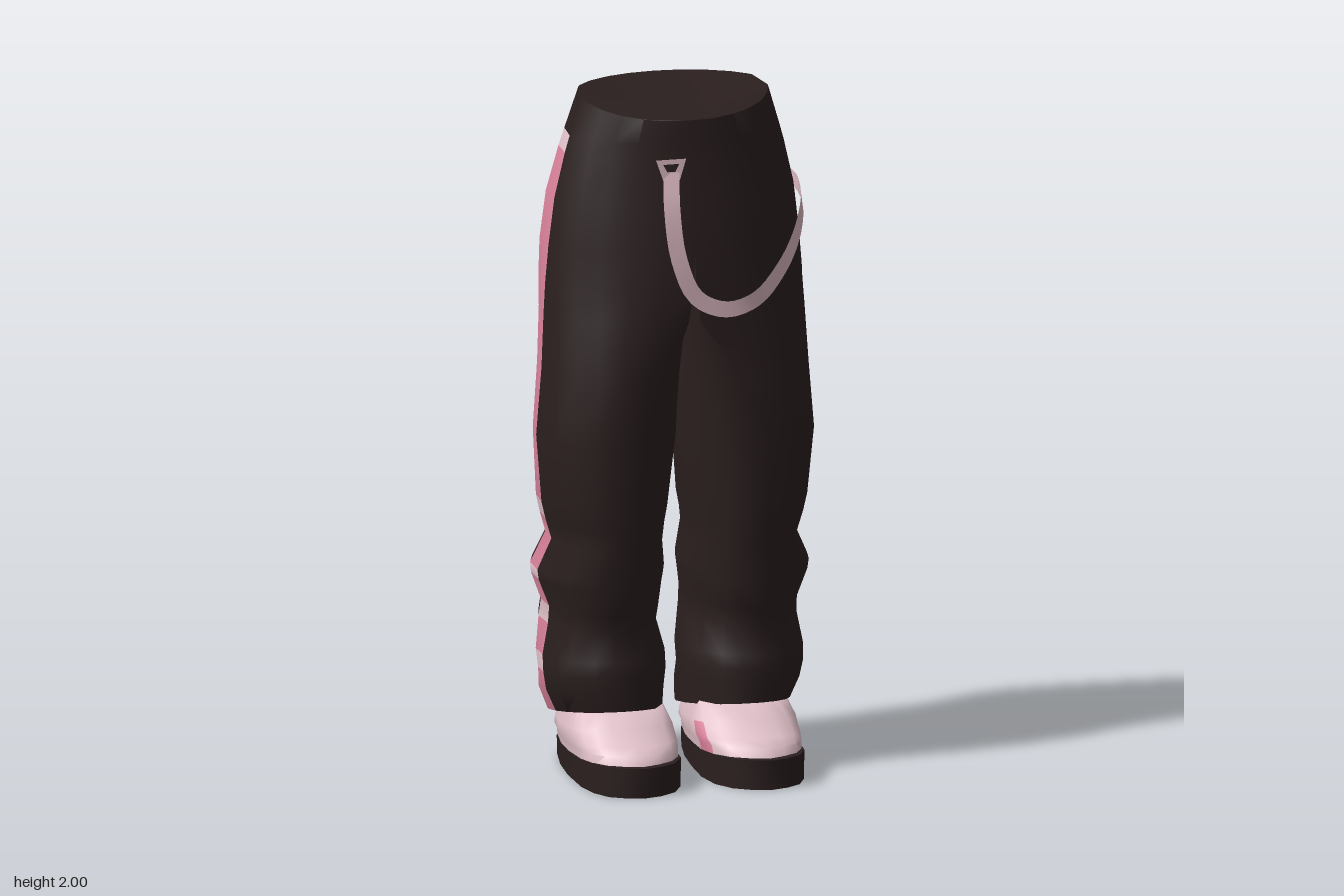
import * as THREE from 'three';
import { toCreasedNormals } from 'three/addons/utils/BufferGeometryUtils.js';

const flat = (name, color, side = THREE.FrontSide) => {
  const m = new THREE.MeshStandardMaterial({ color, side });
  m.name = name;
  return m;
};

// Skins rings of [x, y, z], listed from top to bottom, on the given sides (1 or -1 mirrors x).
// pick(row, column) returns the material index of a face.
function loft(rings, sides, crease, pick = () => 0) {
  const pos = [], faces = [[], [], []], n = rings[0].length;
  for (const s of sides) {
    const base = pos.length / 3;
    rings.flat().forEach(([x, y, z]) => pos.push(x * s, y, z));
    const tri = (a, b, c, m) => {
      const ids = [a, b, c].map((i) => i + base);
      if (ids.every((i) => Math.abs(pos[i * 3]) < 1e-6)) return; // hidden wall on the midline
      faces[m].push(ids[0], ...(s > 0 ? [ids[1], ids[2]] : [ids[2], ids[1]]));
    };
    for (let r = 0; r < rings.length - 1; r++) {
      for (let c = 0; c < n; c++) {
        const a = r * n + c, b = r * n + (c + 1) % n;
        tri(a, a + n, b + n, pick(r, c));
        tri(a, b + n, b, pick(r, c));
      }
    }
    const last = (rings.length - 1) * n;
    for (let c = 1; c < n - 1; c++) {
      tri(0, c, c + 1, 0);
      tri(last, last + c + 1, last + c, 0);
    }
  }
  const g = new THREE.BufferGeometry();
  g.setAttribute('position', new THREE.Float32BufferAttribute(pos, 3));
  g.setIndex(faces.flat());
  let start = 0;
  faces.forEach((f, m) => {
    if (f.length) g.addGroup(start, f.length, m);
    start += f.length;
  });
  return toCreasedNormals(g, crease);
}

// Trouser rows: height, blend from half pelvis to full leg, inner x, outer x, front z, back z
const ROWS = [
  [2.0, 0, 0, 0.28, 0.155, -0.235],
  [1.88, 0, 0, 0.315, 0.16, -0.265],
  [1.83, 0, 0, 0.33, 0.163, -0.277],
  [1.7, 0, 0, 0.36, 0.18, -0.308],
  [1.56, 0, 0, 0.377, 0.197, -0.335],
  [1.45, 0.06, -0.02, 0.384, 0.202, -0.312],
  [1.36, 0.3, -0.03, 0.387, 0.206, -0.288],
  [1.2, 0.85, -0.008, 0.392, 0.208, -0.268],
  [1.0, 1, 0.004, 0.407, 0.206, -0.253],
  [0.8, 1, 0.023, 0.39, 0.19, -0.275],
  [0.75, 1, 0.033, 0.378, 0.187, -0.276],
  [0.69, 1, 0.04, 0.36, 0.178, -0.275],
  [0.6, 1, 0.028, 0.402, 0.166, -0.3],
  [0.57, 1, 0.033, 0.398, 0.163, -0.304],
  [0.49, 1, 0.045, 0.367, 0.156, -0.313],
  [0.44, 1, 0.046, 0.372, 0.128, -0.318],
  [0.35, 1, 0.026, 0.385, 0.16, -0.292],
  [0.3, 1, 0.026, 0.382, 0.162, -0.268],
  [0.25, 1, 0.028, 0.374, 0.162, -0.305],
  [0.187, 1, 0.033, 0.345, 0.158, -0.312],
];
// Angles round the outside from front to back; the stripe is the face after column 6
const OUTER = [0, 0.25, 0.5, 0.75, 1.0, 1.25, 1.5, 1.78, 2.05, 2.3, 2.6, 2.87, Math.PI];
const STRIPE = 6, INNER = 4;
const LIGHT_ROWS = [1, 9, 12, 14, 16];
const stripeZ = (y, column) => -0.055 + 0.018 * y - (column === STRIPE ? 0 : 0.095);

const bulge = (v, p) => Math.sign(v) * Math.abs(v) ** p;

function trouserRing([y, k, xi, xo, zf, zb], row) {
  const zc = (zf + zb) / 2, h = (zf - zb) / 2, cx = (xi + xo) / 2, rx = (xo - xi) / 2;
  const wrap = 0.6, ring = [];
  const power = (b) => (row < 3 ? 1 : Math.cos(b) > 0 ? 0.96 : 0.88); // fuller at the back
  const add = (px, pz, b) => {
    const p = power(b);
    const x = Math.max(0, px * (1 - k) + (cx + rx * bulge(Math.sin(b), p)) * k);
    const z = zc + h * (pz * (1 - k) + bulge(Math.cos(b), p) * k);
    let yy = y;
    if (row === 0) yy -= 0.055 * THREE.MathUtils.clamp((z + 0.05) / 0.2, 0, 1); // waist dips in front
    yy += 0.17 * z * THREE.MathUtils.clamp((0.4 - y) / 0.2, 0, 1); // hem drops at the heel
    ring.push([x, yy, z]);
  };
  OUTER.forEach((angle, c) => {
    const onStripe = c === STRIPE || c === STRIPE + 1;
    const q = (stripeZ(y, c) - zc) / h;
    const a = onStripe ? Math.acos(bulge(q, 1 / power(Math.acos(q)))) : angle;
    const p = power(a);
    const px = c === 0 || c === OUTER.length - 1 ? 0 : xo * bulge(Math.sin(a), p);
    add(px, bulge(Math.cos(a), p), onStripe ? a : -wrap + a * (Math.PI + 2 * wrap) / Math.PI);
  });
  for (let i = 1; i <= INNER; i++) {
    const t = i / (INNER + 1);
    add(0, -1 + 2 * t, Math.PI + wrap + t * (Math.PI - 2 * wrap));
  }
  return ring;
}

// Shoe outline [x, z], from the toe round the outer side
const SOLE = [
  [0.19, 0.34], [0.24, 0.325], [0.285, 0.295], [0.315, 0.235], [0.328, 0.15], [0.325, 0], [0.31, -0.13],
  [0.285, -0.25], [0.23, -0.31], [0.14, -0.31], [0.085, -0.25], [0.06, -0.13], [0.045, 0], [0.037, 0.13],
  [0.05, 0.225], [0.085, 0.29], [0.135, 0.325],
];
const INSTEP = 13;
const soleTop = (z) => 0.072 + 0.06 * Math.min(z, 0.25);
// Outline scaled about its middle, with the toe pulled back to zMax
const shoeRing = (scale, zMax, height) => SOLE.map(([x, z]) => {
  const zz = z > 0 ? z * zMax / 0.34 : z * scale;
  return [0.185 + (x - 0.185) * scale, height(zz), zz];
});

// Flat band that follows a path round the hips
function ribbon(points, width) {
  const curve = new THREE.CatmullRomCurve3(points.map((p) => new THREE.Vector3(...p)));
  const pos = [], idx = [], N = 40;
  for (let i = 0; i <= N; i++) {
    const p = curve.getPoint(i / N), t = curve.getTangent(i / N);
    const out = new THREE.Vector3(p.x * 7, 0, (p.z + 0.06) * 14).normalize();
    const w = out.cross(t).normalize().multiplyScalar(width / 2);
    pos.push(p.x + w.x, p.y + w.y, p.z + w.z, p.x - w.x, p.y - w.y, p.z - w.z);
    const a = i * 2;
    if (i < N) idx.push(a, a + 1, a + 3, a, a + 3, a + 2);
  }
  const g = new THREE.BufferGeometry();
  g.setAttribute('position', new THREE.Float32BufferAttribute(pos, 3));
  g.setIndex(idx);
  g.computeVertexNormals();
  return g;
}

export function createModel() {
  const model = new THREE.Group();
  const dark = flat('dark cloth', 0x2b1f1f);
  const pink = flat('stripe pink', 0xdc849d);
  const pale = flat('pale pink', 0xe4c4cc);
  const band = flat('strap pink', 0xdcb9c2, THREE.DoubleSide);
  const add = (name, geometry, material, parent = model) => {
    const mesh = new THREE.Mesh(geometry, material);
    mesh.name = name;
    parent.add(mesh);
    return mesh;
  };

  // Trousers with a stripe down each side
  const pick = (r, c) => (c !== STRIPE || r === 0 ? 0 : LIGHT_ROWS.includes(r) ? 2 : 1);
  add('trousers', loft(ROWS.map(trouserRing), [1, -1], 1.1, pick), [dark, pink, pale]);

  // Shoes, with a small pink patch at the instep
  for (const s of [1, -1]) {
    const shoe = new THREE.Group();
    shoe.name = s > 0 ? 'leftShoe' : 'rightShoe';
    model.add(shoe);
    add('sole', loft([shoeRing(1, 0.34, soleTop), shoeRing(0.99, 0.338, () => 0)], [s], 0.8), dark, shoe);
    add('upper', loft([
      shoeRing(0.88, 0.13, () => 0.205),
      shoeRing(1.03, 0.185, (z) => 0.145 + 0.12 * z),
      shoeRing(1.04, 0.25, (z) => 0.112 + 0.07 * z),
      shoeRing(1, 0.295, (z) => soleTop(z) + 0.024),
      shoeRing(0.97, 0.312, (z) => soleTop(z) - 0.01),
    ], [s], 1.1, (r, c) => (r > 0 && c === INSTEP ? 1 : 0)), [pale, pink], shoe);
  }

  // Hanging strap from the front to the left hip
  add('strap', ribbon([
    [-0.065, 1.8, 0.178], [-0.07, 1.7, 0.203], [-0.052, 1.55, 0.214], [0, 1.435, 0.215], [0.09, 1.395, 0.215],
    [0.18, 1.42, 0.211], [0.26, 1.49, 0.175], [0.322, 1.57, 0.12], [0.362, 1.65, 0.045], [0.37, 1.69, -0.03],
    [0.364, 1.7, -0.12],
  ], 0.047), band);

  // Clip holding the strap
  const clip = new THREE.Shape();
  clip.moveTo(-0.045, 0.02).lineTo(-0.025, -0.04).lineTo(0.025, -0.04).lineTo(0.045, 0.02).closePath();
  const slot = new THREE.Path();
  slot.moveTo(-0.024, 0.006).lineTo(0.024, 0.006).lineTo(0.012, -0.016).lineTo(-0.012, -0.016).closePath();
  clip.holes.push(slot);
  const plate = add('strapClip', new THREE.ShapeGeometry(clip), band);
  plate.position.set(-0.065, 1.818, 0.176);
  plate.rotation.x = -0.1;

  return model;
}
